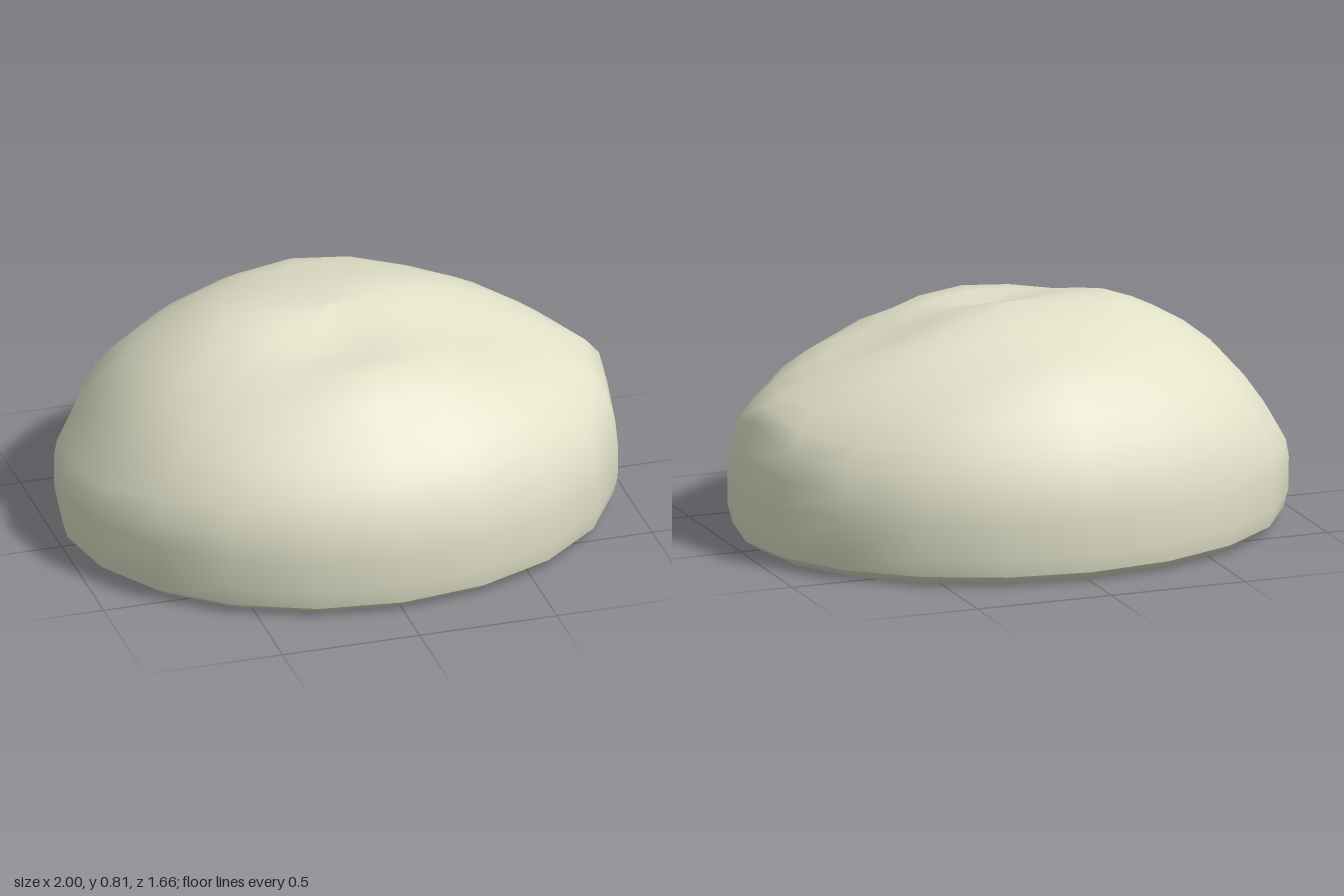
import * as THREE from 'three';

const SEGMENTS = 20;
const WIDTH = 1;
const DEPTH = 0.828;

// Soft lumps and hollows on the crust: x, z, spread in x, spread in z, height
const LUMPS = [
  [-0.03, 0.46, 0.3, 0.12, 0.035],
  [0.0, 0.2, 0.22, 0.13, -0.05],
  [0.97, 0.04, 0.11, 0.24, 0.08],
  [0.48, 0.12, 0.24, 0.2, -0.07],
  [0.05, -0.58, 0.45, 0.13, 0.045],
  [-0.42, 0.0, 0.2, 0.3, 0.035],
  [-0.92, 0.0, 0.13, 0.45, -0.07],
  [-0.1, 0.64, 0.3, 0.07, -0.02],
];

const lumpHeight = (x, z) =>
  LUMPS.reduce((sum, [cx, cz, sx, sz, h]) =>
    sum + h * Math.exp(-(((x - cx) / sx) ** 2) - ((z - cz) / sz) ** 2), 0);

// Oval surface through rings [radius, y, lump amount], listed from bottom to top
function ovalSurface(rings) {
  const positions = [];
  const index = [];
  for (const [r, y, amount] of rings) {
    for (let i = 0; i < SEGMENTS; i++) {
      const a = (i / SEGMENTS) * Math.PI * 2;
      const x = Math.cos(a) * r * WIDTH;
      const z = Math.sin(a) * r * DEPTH;
      positions.push(x, y + amount * lumpHeight(x, z), z);
    }
  }
  for (let k = 0; k < rings.length - 1; k++) {
    for (let i = 0; i < SEGMENTS; i++) {
      const j = (i + 1) % SEGMENTS;
      const a = k * SEGMENTS + i, b = k * SEGMENTS + j;
      const c = a + SEGMENTS, d = b + SEGMENTS;
      index.push(a, c, b, b, c, d);
    }
  }
  const geometry = new THREE.BufferGeometry();
  geometry.setAttribute('position', new THREE.Float32BufferAttribute(positions, 3));
  geometry.setIndex(index);
  geometry.computeVertexNormals();
  return geometry;
}

export function createModel() {
  const group = new THREE.Group();
  group.name = 'roundLoaf';
  const material = new THREE.MeshStandardMaterial({ color: 0xe2e2ca });

  const add = (name, rings) => {
    const mesh = new THREE.Mesh(ovalSurface(rings), material);
    mesh.name = name;
    group.add(mesh);
  };

  // Domed crust, rising from the straight lower wall to the top point
  const domeRings = [[0.98, 0.035, 0], [0.998, 0.1, 0]];
  const steps = 11;
  for (let k = 0; k <= steps; k++) {
    const t = (k / steps) * Math.PI / 2;
    domeRings.push([Math.cos(t), 0.22 + 0.592 * Math.sin(t), Math.min(1, k / 2)]);
  }
  add('crustDome', domeRings);

  // Flat underside with its chamfered rim, shaded as one surface
  add('underside', [[0, 0, 0], [0.925, 0, 0], [0.98, 0.035, 0]]);

  return group;
}
